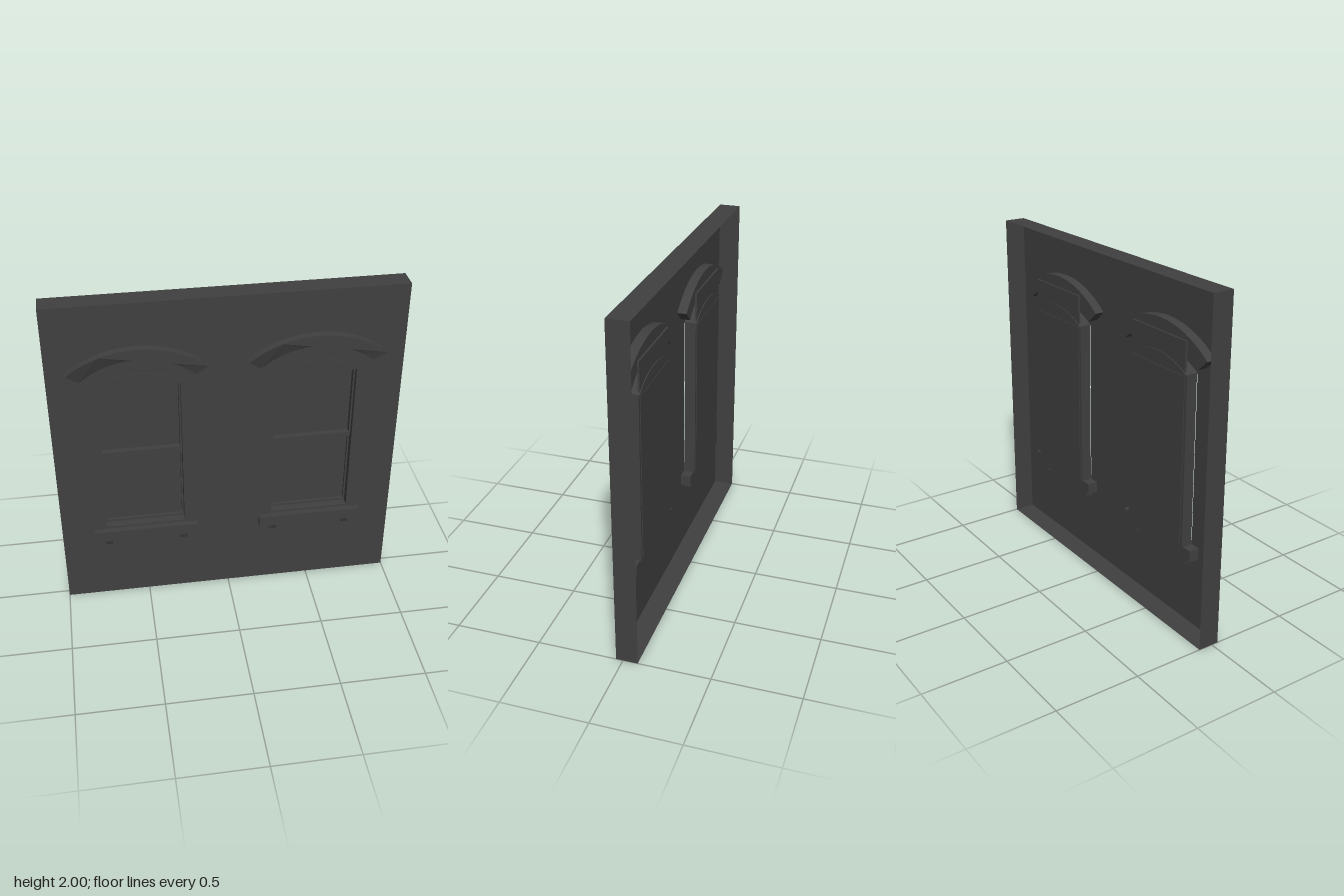
import * as THREE from 'three';

const MAT = new THREE.MeshStandardMaterial({ color: 0x404040, flatShading: true, side: THREE.DoubleSide });
const WALL_Z = 0.04, BACK_Z = -0.085;

function add(parent, name, geometry) {
  const mesh = new THREE.Mesh(geometry, MAT);
  mesh.name = name;
  parent.add(mesh);
  return mesh;
}

// Box given by its limits on each axis
function block(parent, name, x0, x1, y0, y1, z0, z1) {
  const mesh = add(parent, name, new THREE.BoxGeometry(x1 - x0, y1 - y0, z1 - z0));
  mesh.position.set((x0 + x1) / 2, (y0 + y1) / 2, (z0 + z1) / 2);
  return mesh;
}

function rectPath(path, x0, x1, y0, y1) {
  path.moveTo(x0, y0);
  path.lineTo(x1, y0);
  path.lineTo(x1, y1);
  path.lineTo(x0, y1);
  path.closePath();
  return path;
}

// Rectangular frame with an opening
function frame(parent, name, outer, inner, z0, z1) {
  const shape = rectPath(new THREE.Shape(), ...outer);
  shape.holes.push(rectPath(new THREE.Path(), ...inner));
  const geo = new THREE.ExtrudeGeometry(shape, { depth: z1 - z0, bevelEnabled: false });
  geo.translate(0, 0, z0);
  return add(parent, name, geo);
}

// Points of a shallow arc through (-half, spring), (0, apex), (half, spring)
function arc(half, spring, apex, n = 16) {
  const rise = apex - spring;
  const r = (half * half + rise * rise) / (2 * rise);
  const a = Math.asin(half / r);
  return Array.from({ length: n + 1 }, (_, i) => {
    const t = -a + (2 * a * i) / n;
    return new THREE.Vector2(r * Math.sin(t), apex - r + r * Math.cos(t));
  });
}

function createWindow() {
  const g = new THREE.Group();
  g.name = 'window';

  // Curved hood: its front slopes back toward the inner curve
  const outer = arc(0.39, 1.61, 1.745);
  const inner = arc(0.32, 1.547, 1.665);
  const hoodBack = -0.015;
  const hood = new THREE.ExtrudeGeometry(new THREE.Shape([...outer, ...inner.slice().reverse()]),
    { depth: 0.085 - hoodBack, bevelEnabled: false });
  hood.translate(0, 0, hoodBack);
  const p = hood.attributes.position;
  for (let i = 0; i < p.count; i++) {
    const isInner = Math.hypot(p.getX(i), p.getY(i) - 1.114) < 0.6;
    if (isInner && p.getZ(i) > 0) p.setZ(i, 0.055);
  }
  hood.computeVertexNormals();
  add(g, 'archedHood', hood);

  // Segmental head above the opening and the plate behind it
  const head = new THREE.Shape([new THREE.Vector2(-0.25, 1.495), ...arc(0.25, 1.5, 1.57),
    new THREE.Vector2(0.25, 1.495)]);
  const headGeo = new THREE.ExtrudeGeometry(head, { depth: 0.08, bevelEnabled: false });
  headGeo.translate(0, 0, -0.035);
  add(g, 'archedHead', headGeo);
  block(g, 'backPlate', -0.235, 0.235, 1.48, 1.68, -0.03, -0.02);

  // Jamb lining, the two sashes and their glass
  frame(g, 'jambLining', [-0.252, 0.252, 0.495, 1.502], [-0.235, 0.235, 0.515, 1.485], -0.03, 0.035);
  frame(g, 'upperSash', [-0.236, 0.236, 1.01, 1.486], [-0.225, 0.225, 1.035, 1.475], -0.03, 0.005);
  frame(g, 'lowerSash', [-0.236, 0.236, 0.514, 1.01], [-0.225, 0.225, 0.53, 0.99], -0.03, -0.01);
  block(g, 'glass', -0.235, 0.235, 0.51, 1.49, -0.034, -0.028);

  // Sill on two tapered brackets
  block(g, 'sill', -0.31, 0.31, 0.43, 0.5, -0.02, 0.07);
  for (const s of [-1, 1]) {
    const bracket = new THREE.BoxGeometry(0.05, 0.045, 0.06);
    const b = bracket.attributes.position;
    for (let i = 0; i < b.count; i++) {
      if (b.getY(i) > 0) continue;
      b.setX(i, b.getX(i) * 0.8);
      if (b.getZ(i) > 0) b.setZ(i, 0.014);
    }
    bracket.computeVertexNormals();
    add(g, 'sillBracket', bracket).position.set(s * 0.227, 0.4075, 0.03);
  }
  return g;
}

export function createModel() {
  const model = new THREE.Group();
  model.name = 'wallPanel';

  // Front sheet with two openings
  const face = rectPath(new THREE.Shape(), -1, 1, 0, 2);
  for (const x of [-0.5, 0.5]) {
    face.holes.push(rectPath(new THREE.Path(), x - 0.25, x + 0.25, 0.5, 1.5));
  }
  add(model, 'wallFace', new THREE.ShapeGeometry(face)).position.z = WALL_Z;

  // Four thin returns around the edge; the back stays open
  for (let i = 0; i < 4; i++) {
    const geo = new THREE.PlaneGeometry(2, WALL_Z - BACK_Z);
    geo.rotateX(-Math.PI / 2);
    geo.translate(0, 1, (WALL_Z + BACK_Z) / 2);
    geo.rotateZ((i * Math.PI) / 2);
    add(model, 'wallReturn', geo).position.y = 1;
  }

  for (const x of [-0.5, 0.5]) {
    const w = createWindow();
    w.position.x = x;
    model.add(w);
  }
  return model;
}
